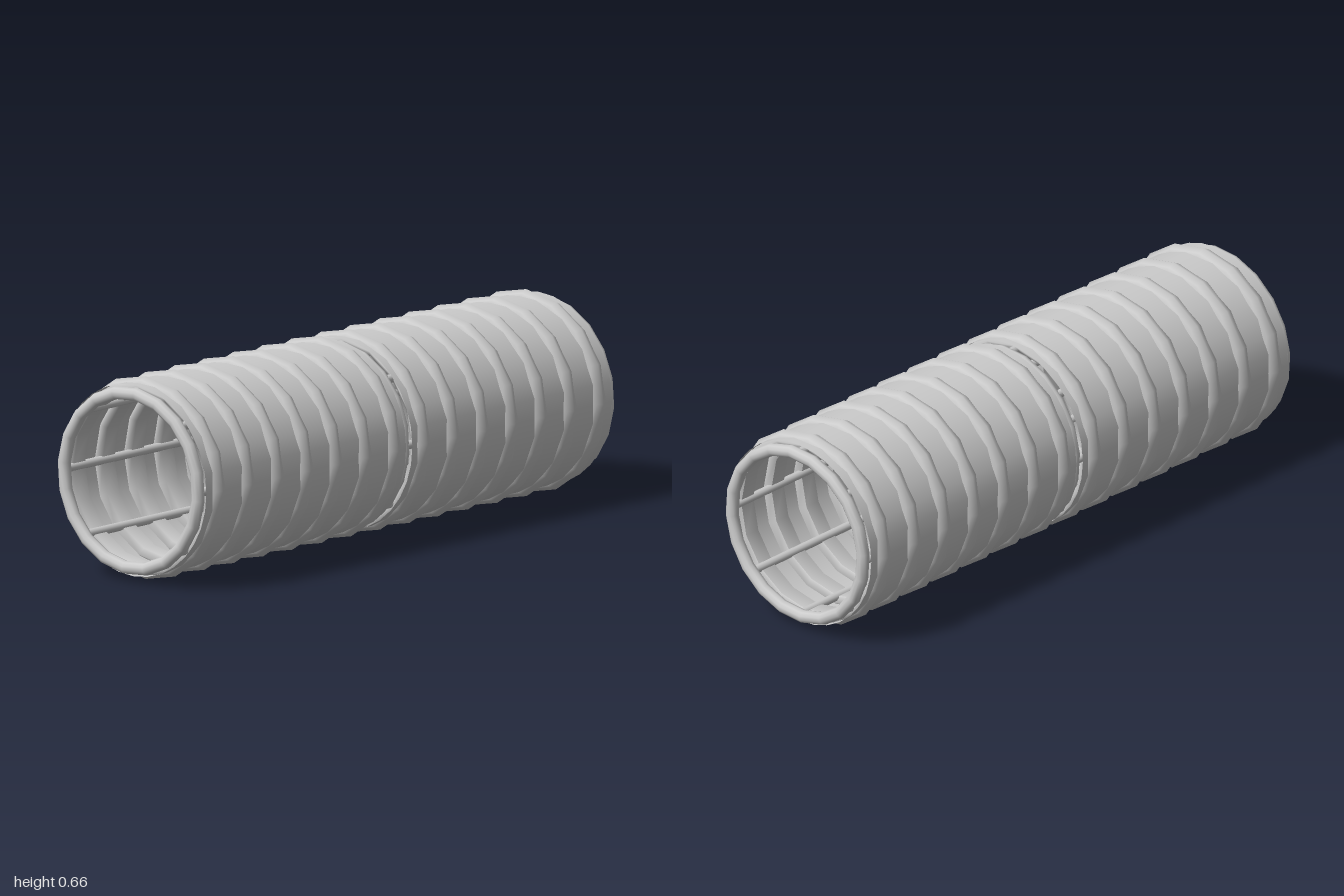
import * as THREE from 'three';

const RADIUS = 0.328; // crest of the ribs, also the height of the axis

export function createModel() {
  const group = new THREE.Group();
  const material = new THREE.MeshStandardMaterial({ color: 0xcccccc, side: THREE.DoubleSide });

  const add = (name, geometry, x, y = 0, z = 0) => {
    const mesh = new THREE.Mesh(geometry, material);
    mesh.name = name;
    mesh.position.set(x, RADIUS + y, z);
    group.add(mesh);
  };

  // Two sleeves of fabric, open at both ends
  const sleeve = new THREE.CylinderGeometry(0.31, 0.31, 0.955, 32, 1, true).rotateZ(Math.PI / 2);
  for (const side of [-1, 1]) add('sleeve', sleeve, side * 0.4925);

  // Coarse ribs that push through the sleeves, seven on each
  const profile = [[0.282, -0.028], [0.302, -0.043], [0.318, -0.021], [RADIUS, 0],
    [0.318, 0.021], [0.302, 0.043], [0.282, 0.028], [0.282, -0.028]]
    .map(([r, h]) => new THREE.Vector2(r, h));
  const rib = new THREE.LatheGeometry(profile, 16).rotateZ(Math.PI / 2);
  for (let i = 0; i < 7; i++) {
    for (const side of [-1, 1]) add('rib', rib, side * (0.07 + i * 0.14));
  }

  // Tubular hoops at the ends and in the middle
  const hoop = new THREE.TorusGeometry(0.284, 0.021, 10, 20)
    .rotateZ(THREE.MathUtils.degToRad(5)).rotateY(Math.PI / 2);
  for (const x of [-0.979, 0, 0.979]) add('hoop', hoop, x);

  // Lengthwise rods joining the hoops
  const rod = new THREE.CylinderGeometry(0.014, 0.014, 1.956, 10).rotateZ(Math.PI / 2);
  for (let i = 0; i < 8; i++) {
    const a = i * Math.PI / 4;
    add('rod', rod, 0, 0.286 * Math.sin(a), 0.286 * Math.cos(a));
  }

  return group;
}
